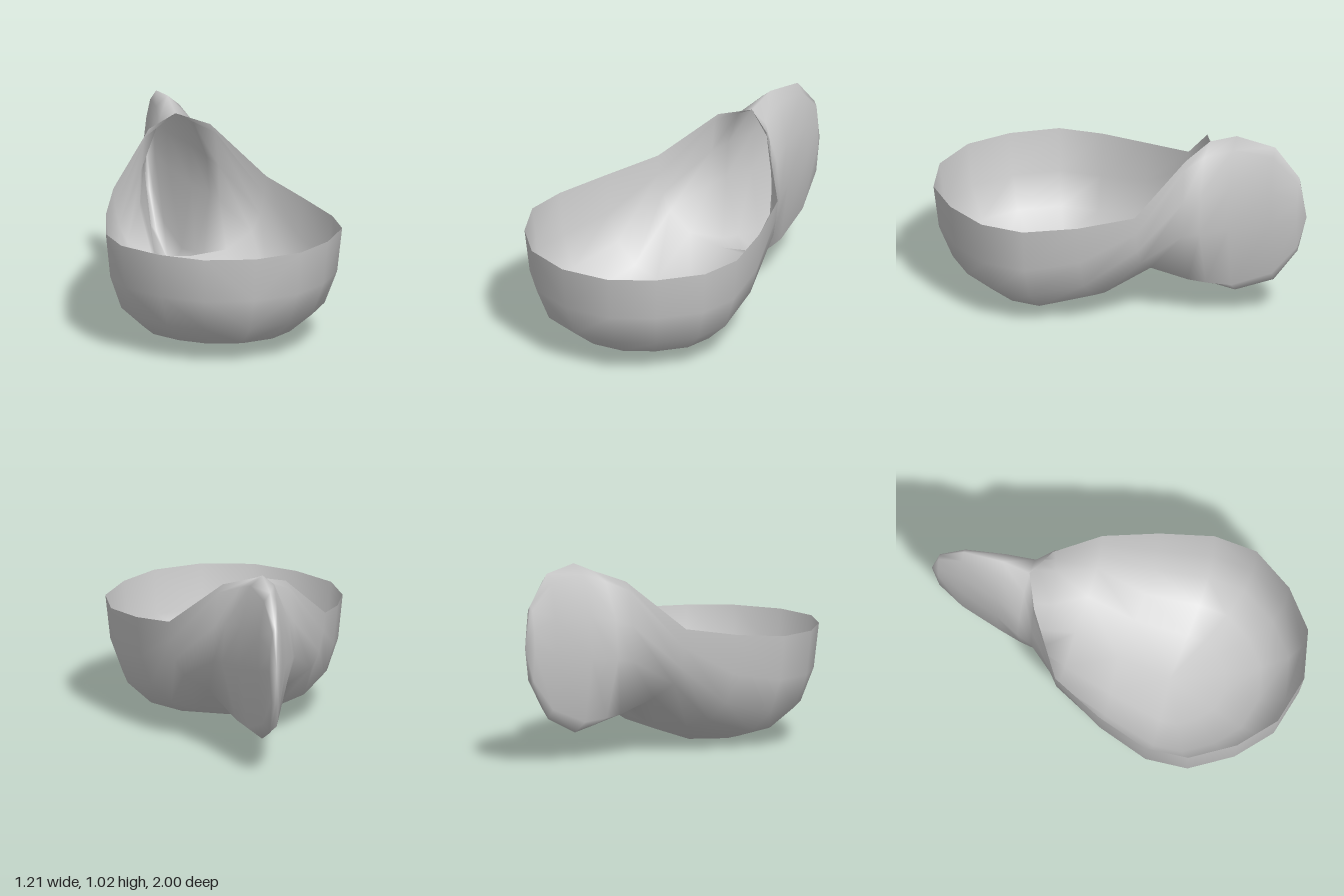
import * as THREE from 'three';
import { mergeVertices } from 'three/addons/utils/BufferGeometryUtils.js';

// Half profiles from rim to keel: [share of half width, share of depth]
const BOWL = [[1, 0], [0.96, 0.39], [0.86, 0.68], [0.66, 0.87], [0.4, 0.955], [0, 1]];
const FIN = [[0, 0], [0.5, 0.06], [0.9, 0.3], [1, 0.55], [0.6, 0.93], [0, 1]];

// Stations from front to back:
// half width, rim y, rim z, keel y, keel z, blend bowl to fin, rim opening (share of half width)
const STATIONS = [
  [0, 0.59, 1, 0, 0.28, 0, 1],
  [0.26, 0.59, 0.94, 0, 0.28, 0, 1],
  [0.45, 0.59, 0.78, 0, 0.28, 0, 1],
  [0.59, 0.59, 0.56, 0, 0.28, 0, 1],
  [0.605, 0.59, 0.33, 0, 0.28, 0, 1],
  [0.525, 0.62, 0.06, 0.09, 0, 0, 1],
  [0.408, 0.67, -0.21, 0.27, -0.23, 0.45, 1],
  [0.213, 0.915, -0.4, 0.17, -0.4, 1, 0.77],
  [0.185, 0.965, -0.475, 0.155, -0.5, 1, 0],
  [0.125, 1.02, -0.62, 0.14, -0.61, 1, 0],
  [0.065, 0.99, -0.83, 0.235, -0.82, 1, 0],
  [0.03, 0.84, -0.96, 0.42, -0.95, 1, 0],
  [0, 0.62, -1, 0.62, -1, 1, 0],
];

// One point of the shell on the given side (+1 left, -1 right)
function shellPoint([w, rimY, rimZ, keelY, keelZ, blend, open], j, side) {
  const { lerp } = THREE.MathUtils;
  const [bs, bd] = BOWL[j];
  const [fs, fd] = FIN[j];
  const finS = j <= 3 ? open + (1 - open) * fs : fs;
  return [
    side * w * lerp(bs, finS, blend),
    lerp(rimY, keelY, lerp(bd, fd, blend)),
    lerp(keelZ, rimZ, bs),
  ];
}

function shellGeometry() {
  const positions = [], index = [], cols = BOWL.length;
  for (const side of [1, -1]) {
    const start = positions.length / 3;
    for (const station of STATIONS)
      for (let j = 0; j < cols; j++) positions.push(...shellPoint(station, j, side));
    for (let i = 0; i < STATIONS.length - 1; i++)
      for (let j = 0; j < cols - 1; j++) {
        const a = start + i * cols + j, b = a + cols, c = a + 1, d = b + 1;
        if (side > 0) index.push(a, c, b, c, d, b);
        else index.push(a, b, c, c, b, d);
      }
  }
  const geometry = new THREE.BufferGeometry();
  geometry.setAttribute('position', new THREE.Float32BufferAttribute(positions, 3));
  geometry.setIndex(index);
  // Weld the halves along the centre line for smooth shading
  const welded = mergeVertices(geometry, 1e-4);
  welded.computeVertexNormals();
  return welded;
}

export function createModel() {
  const group = new THREE.Group();
  group.name = 'scoopBowl';
  // Thin open bowl that runs back into a hollow upright fin
  const material = new THREE.MeshStandardMaterial({ color: 0xcccccc, side: THREE.DoubleSide });
  const shell = new THREE.Mesh(shellGeometry(), material);
  shell.name = 'bowlWithFinHandle';
  group.add(shell);
  return group;
}
